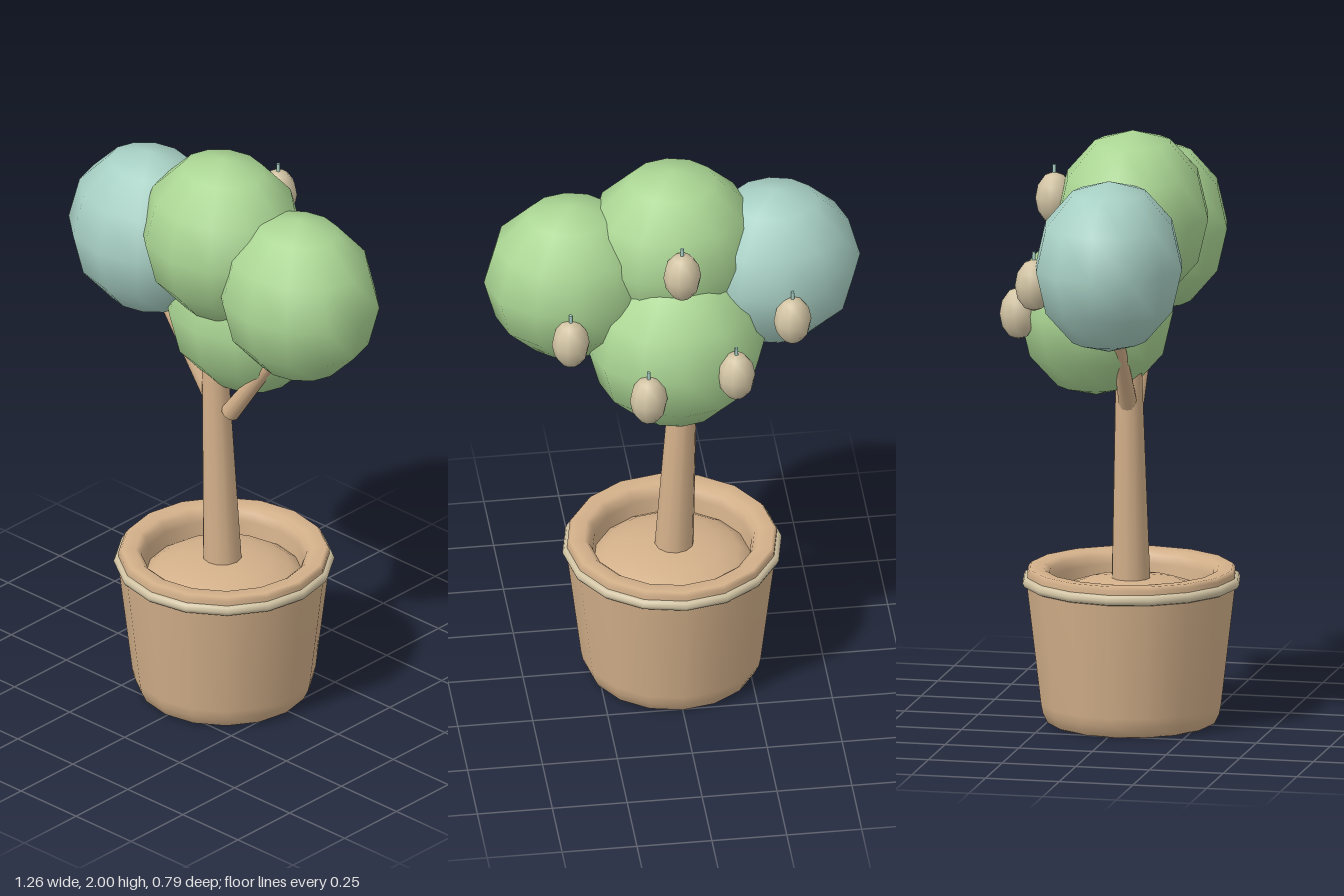
import * as THREE from 'three';

const material = (name, color) => {
  const m = new THREE.MeshStandardMaterial({ color });
  m.name = name;
  return m;
};

export function createModel() {
  const tree = new THREE.Group();
  tree.name = 'pottedFruitTree';

  const tan = material('warmTan', 0xd3b08a);
  const beige = material('paleBeige', 0xd2c4a4);
  const green = material('leafGreen', 0xabd694);
  const teal = material('softTeal', 0xa8d0c4);
  const Z = 0.02; // depth of the pot and trunk axis

  function add(name, geometry, mat, x = 0, y = 0, z = Z, parent = tree) {
    const mesh = new THREE.Mesh(geometry, mat);
    mesh.name = name;
    mesh.position.set(x, y, z);
    parent.add(mesh);
    return mesh;
  }

  // Tapered round limb between two points
  function limb(name, from, to, r0, r1) {
    const a = new THREE.Vector3(...from);
    const dir = new THREE.Vector3(...to).sub(a);
    const mesh = add(name, new THREE.CylinderGeometry(r1, r0, dir.length(), 12), tan);
    mesh.position.copy(a).addScaledVector(dir, 0.5);
    mesh.quaternion.setFromUnitVectors(new THREE.Vector3(0, 1, 0), dir.normalize());
  }

  // Pot: tapered body with bevelled foot, rounded lip and inner wall
  const potProfile = [
    [0, 0], [0.27, 0], [0.282, 0.006], [0.298, 0.04], [0.304, 0.07], [0.35, 0.46],
    [0.35, 0.512], [0.34, 0.525], [0.292, 0.522], [0.275, 0.508], [0.265, 0.48], [0.255, 0.38],
  ].map(([r, y]) => new THREE.Vector2(r, y));
  add('pot', new THREE.LatheGeometry(potProfile, 16), tan);

  // Band under the lip
  const band = new THREE.TorusGeometry(0.347, 0.019, 8, 16);
  band.rotateX(Math.PI / 2);
  add('potBand', band, beige, 0, 0.48);

  // Gently mounded soil
  const soil = new THREE.SphereGeometry(0.275, 16, 5, 0, Math.PI * 2, 0, Math.PI / 2);
  soil.scale(1, 0.34, 1);
  add('soil', soil, tan, 0, 0.4);

  // Trunk and mirrored branches
  limb('trunk', [-0.004, 0.42, Z], [-0.04, 1.19, Z], 0.067, 0.045);
  for (const side of [-1, 1]) {
    limb(side < 0 ? 'rightBranch' : 'leftBranch',
      [side * 0.03, 1.05, Z], [side * 0.3, 1.42, Z + 0.01], 0.033, 0.018);
  }

  // Foliage: name, colour, centre, radii
  const foliage = [
    ['rightFoliage', teal, [-0.34, 1.608, Z], [0.288, 0.288, 0.248]],
    ['leftFoliage', green, [0.34, 1.608, Z], [0.288, 0.288, 0.248]],
    ['topFoliage', green, [0, 1.709, 0.024], [0.291, 0.291, 0.256]],
    ['backFoliage', green, [0, 1.395, -0.1], [0.298, 0.295, 0.262]],
  ];
  for (const [name, mat, centre, radii] of foliage) {
    const ball = new THREE.SphereGeometry(1, 12, 6);
    ball.scale(...radii);
    add(name, ball, mat, ...centre);
  }

  // Fruit with short stems on the back of the crown
  const fruitGeometry = new THREE.SphereGeometry(0.063, 10, 6);
  fruitGeometry.scale(1, 1.39, 1);
  const stemGeometry = new THREE.CylinderGeometry(0.006, 0.007, 0.045, 6);
  const fruits = [
    [0, 1.76, -0.242], [0.37, 1.51, -0.225], [-0.37, 1.54, -0.228],
    [0.125, 1.34, -0.342], [-0.17, 1.4, -0.325],
  ];
  for (const spot of fruits) {
    const fruit = new THREE.Group();
    fruit.name = 'fruit';
    fruit.position.set(...spot);
    add('fruitBody', fruitGeometry, beige, 0, 0, 0, fruit);
    add('fruitStem', stemGeometry, teal, 0, 0.09, 0, fruit);
    tree.add(fruit);
  }

  return tree;
}
